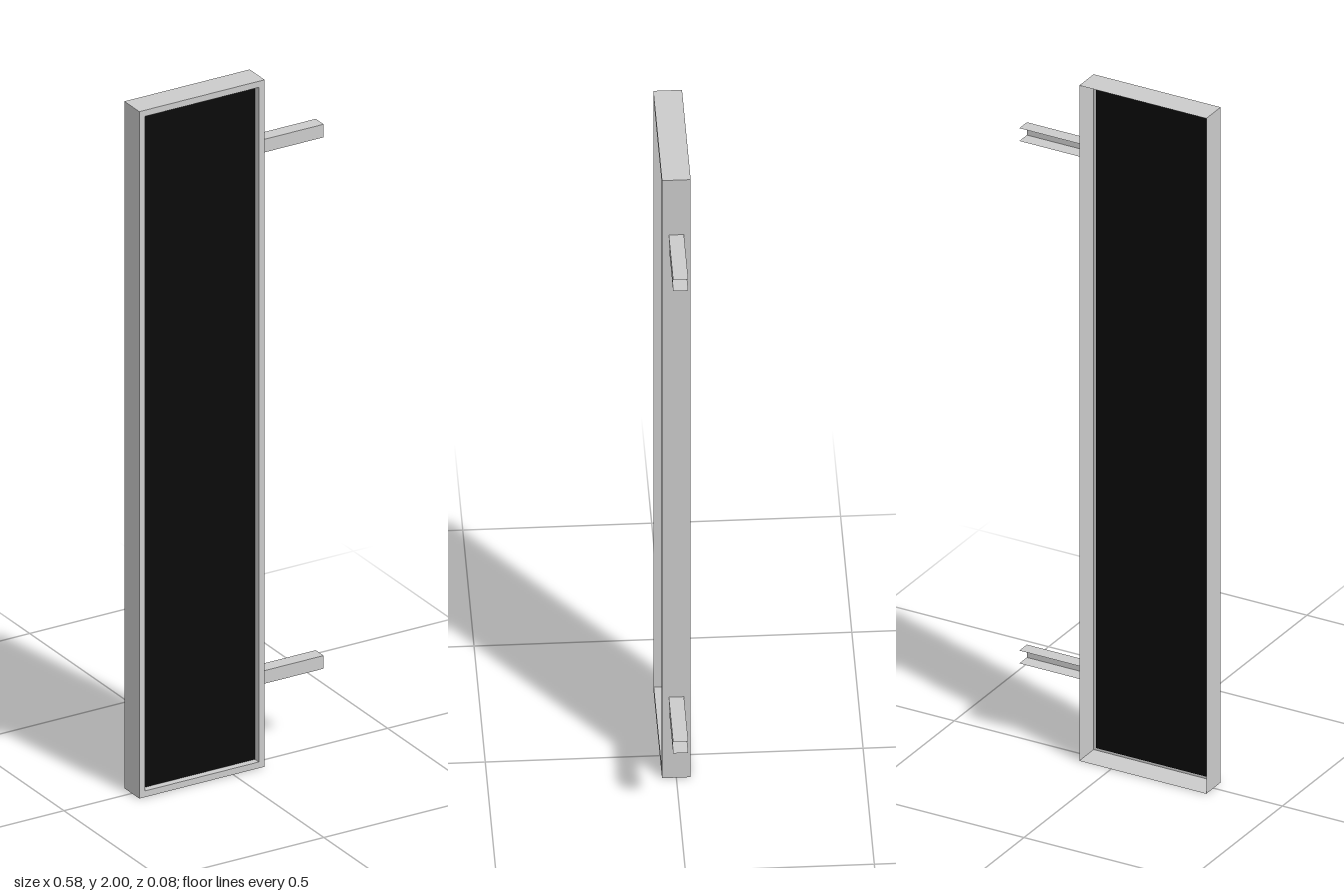
import * as THREE from 'three';

const grey = new THREE.MeshStandardMaterial({ color: 0xcccccc, side: THREE.DoubleSide, flatShading: true });
const black = new THREE.MeshStandardMaterial({ color: 0x0a0a0a, side: THREE.DoubleSide });

const X0 = -0.29, X1 = 0.097, H = 2, D = 0.038, LIP = 0.018, PANEL_Z = 0.018;

// Folded sheet: joins successive cross-section loops with quads
function sheet(sections, closed) {
  const pos = [];
  for (let i = 0; i < sections.length - 1; i++) {
    const a = sections[i], b = sections[i + 1], n = a.length;
    for (let j = 0; j < (closed ? n : n - 1); j++) {
      const k = (j + 1) % n;
      pos.push(...a[j], ...a[k], ...b[k], ...a[j], ...b[k], ...b[j]);
    }
  }
  const g = new THREE.BufferGeometry();
  g.setAttribute('position', new THREE.Float32BufferAttribute(pos, 3));
  g.computeVertexNormals();
  return g;
}

const rect = (inset, z) => [
  [X0 + inset, inset, z], [X1 - inset, inset, z],
  [X1 - inset, H - inset, z], [X0 + inset, H - inset, z],
];

function add(group, geometry, material, name) {
  const mesh = new THREE.Mesh(geometry, material);
  mesh.name = name;
  group.add(mesh);
  return mesh;
}

export function createModel() {
  const group = new THREE.Group();
  group.name = 'framedPanel';

  // Frame: outer wall, front lip, and return down to the panel; open at the back
  add(group, sheet([rect(0, -D), rect(0, D), rect(LIP, D), rect(LIP, PANEL_Z)], true), grey, 'frame');

  // Recessed dark panel
  const panel = add(group, new THREE.PlaneGeometry(X1 - X0 - 2 * LIP, H - 2 * LIP), black, 'panel');
  panel.position.set((X0 + X1) / 2, H / 2, PANEL_Z);

  // Channel brackets, open to the back
  const h = 0.019, d = 0.02;
  const channel = (x) => [[x, h, -d], [x, h, d], [x, -h, d], [x, -h, -d]];
  const bracket = sheet([channel(X1), channel(0.29)], false);
  for (const [name, y] of [['upperBracket', 1.798], ['lowerBracket', 0.251]]) {
    add(group, bracket, grey, name).position.y = y;
  }
  return group;
}
